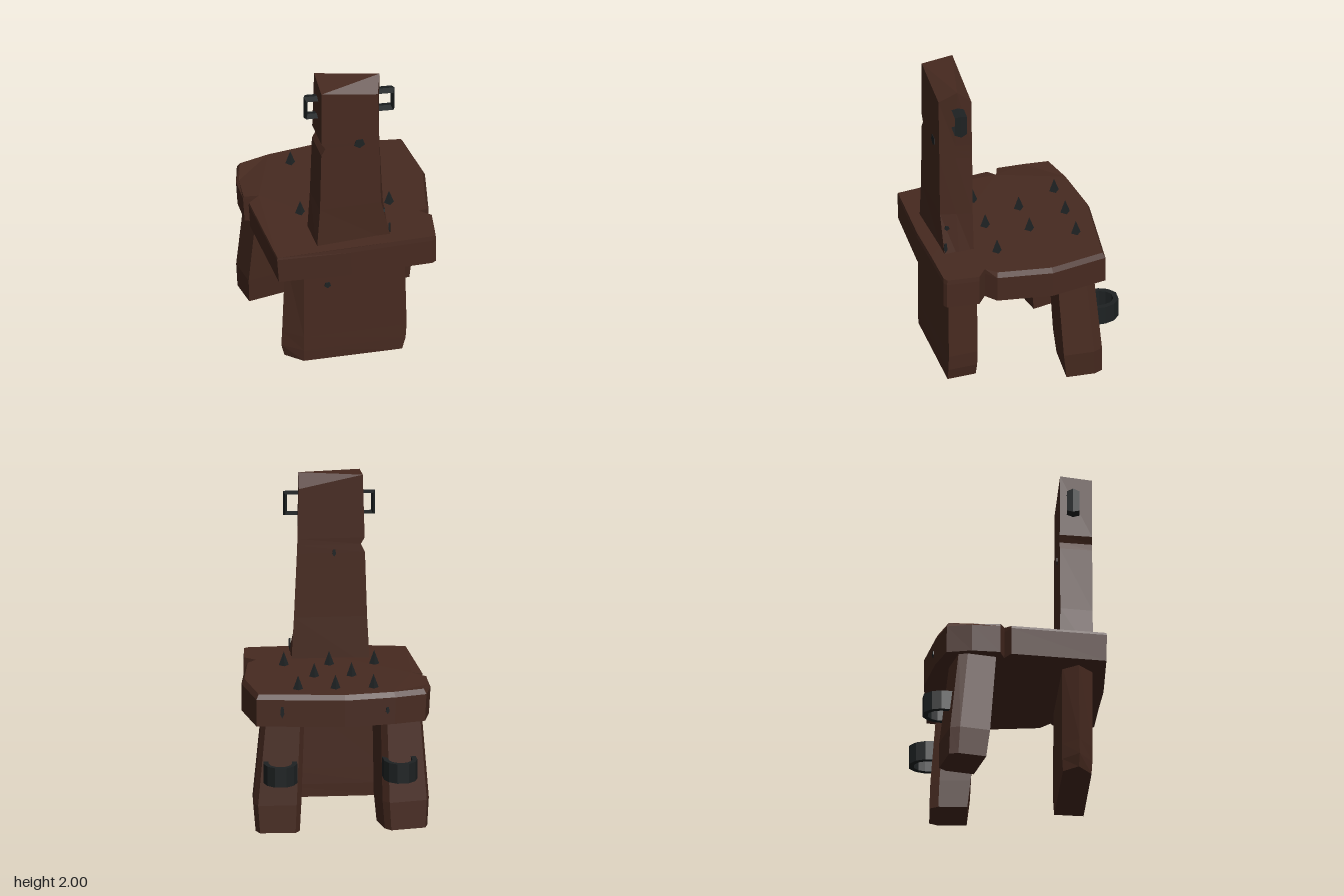
import * as THREE from 'three';

const wood = new THREE.MeshStandardMaterial({ color: 0x472a20 });
wood.name = 'dark wood';
const iron = new THREE.MeshStandardMaterial({ color: 0x1e2223 });
iron.name = 'black iron';

const YAW = -0.24; // the whole chair stands slightly turned

function add(parent, name, geo, mat) {
  const m = new THREE.Mesh(geo, mat);
  m.name = name;
  parent.add(m);
  return m;
}

function faceted(geo) {
  const g = geo.index ? geo.toNonIndexed() : geo;
  g.computeVertexNormals();
  return g;
}

// Faceted solid through stacked rings of [x, y, z] points, bottom to top
function loft(rings, topFaces) {
  const flat = (r) => r.map((p) => new THREE.Vector2(p[0], p[2]));
  if (THREE.ShapeUtils.area(flat(rings[0])) < 0) rings = rings.map((r) => [...r].reverse());
  const pos = [];
  const tri = (a, b, c) => pos.push(...a, ...b, ...c);
  const n = rings[0].length;
  for (let k = 0; k + 1 < rings.length; k++) {
    for (let i = 0; i < n; i++) {
      const j = (i + 1) % n, lo = rings[k], hi = rings[k + 1];
      tri(lo[i], hi[i], hi[j]);
      tri(lo[i], hi[j], lo[j]);
    }
  }
  const bottom = rings[0], top = rings[rings.length - 1];
  for (const [a, b, c] of THREE.ShapeUtils.triangulateShape(flat(bottom), [])) tri(bottom[a], bottom[b], bottom[c]);
  const faces = topFaces || THREE.ShapeUtils.triangulateShape(flat(top), []);
  for (const [a, b, c] of faces) tri(top[c], top[b], top[a]);
  const g = new THREE.BufferGeometry();
  g.setAttribute('position', new THREE.Float32BufferAttribute(pos, 3));
  g.computeVertexNormals();
  return g;
}

const level = (y, pts) => pts.map(([x, z]) => [x, y, z]);

// Iron C-shaped cuff, opening towards +z, standing along y
function cuffGeometry(size, height, arm, inner, yaw) {
  const arc = [[-1, -arm], [-1, 0.05], [-0.8, 0.6], [-0.35, 1], [0.35, 1], [0.8, 0.6], [1, 0.05], [1, -arm]];
  const inside = arc.map(([x, y]) => [x * inner, y < 0 ? y : y * inner]).reverse();
  const shape = new THREE.Shape([...arc, ...inside].map(([x, y]) => new THREE.Vector2(x * size, y * size)));
  const geo = new THREE.ExtrudeGeometry(shape, { depth: height, bevelEnabled: false });
  return faceted(geo.translate(0, 0, -height / 2).rotateX(-Math.PI / 2).rotateY(yaw));
}

export function createModel() {
  const chair = new THREE.Group();
  chair.name = 'spikedChair';

  // Seat slab with two split notches, worn along its back and left edges
  const outline = [
    [-0.57, 0.445], [-0.522, -0.13], [-0.45, -0.155], [-0.53, -0.2], [-0.507, -0.37], [-0.445, -0.51],
    [-0.25, -0.53], [0.06, -0.52], [0.568, -0.37], [0.568, -0.02], [0.462, 0.3], [0.385, 0.345],
    [0.442, 0.41], [0.39, 0.6], [0.36, 0.61], [0.13, 0.575], [-0.13, 0.54],
  ];
  const worn = ([x, z]) => (z < -0.3 || (x > 0.4 && z < 0.35) ? 0.97 : 0.995);
  add(chair, 'seat', loft([
    level(0.67, outline.map(([x, z]) => [x < 0 ? x * 0.98 : x, z])),
    level(0.835, outline),
    outline.map((p) => [p[0] * worn(p), p[0] < -0.5 ? 0.85 : 0.866, p[1] * worn(p)]),
  ]), wood);

  // Backrest: corners run back-left, back-right, right, front-right, front-left
  const back = [
    level(0.8, [[-0.29, 0.225], [0.175, 0.31], [0.165, 0.4], [0.155, 0.49], [-0.31, 0.43]]),
    level(1.12, [[-0.275, 0.235], [0.157, 0.31], [0.12, 0.4], [0.08, 0.49], [-0.288, 0.43]]),
    level(1.52, [[-0.262, 0.235], [0.14, 0.305], [0.105, 0.4], [0.071, 0.49], [-0.28, 0.43]]),
    level(1.57, [[-0.238, 0.24], [0.138, 0.305], [0.104, 0.4], [0.07, 0.49], [-0.255, 0.434]]),
    level(1.61, [[-0.26, 0.235], [0.137, 0.305], [0.103, 0.4], [0.069, 0.49], [-0.28, 0.43]]),
    [[-0.25, 2, 0.24], [0.128, 1.92, 0.305], [0.11, 2, 0.39], [0.06, 1.93, 0.49], [-0.28, 1.98, 0.43]],
  ];
  // Crooked cut across the top, fanned from its peak
  add(chair, 'backrest', loft(back, [[2, 3, 4], [2, 4, 0], [2, 0, 1]]), wood);

  // Wide front support
  const support = (x0, x1, w) => [
    [-0.38, 0.405 - w], [x1 - 0.025, 0.51 - w], [x1, 0.33], [-0.375, 0.22 + w], [x0, 0.3],
  ];
  add(chair, 'frontSupport', loft([
    level(0, support(-0.465, 0.235, 0.005)),
    level(0.08, support(-0.485, 0.255, 0)),
    level(0.18, support(-0.48, 0.262, 0)),
    level(0.7, support(-0.46, 0.25, 0)),
  ]), wood);

  // Two leaning back legs, each turned its own way with an iron cuff behind
  const legRing = (y, [cx, cz], yaw, a, b) => [
    [-a, -b], [a, -b], [a, b * 0.55], [a * 0.8, b], [-a * 0.8, b], [-a, b * 0.55],
  ].map(([u, v]) => [
    cx + u * Math.cos(yaw) - v * Math.sin(yaw), y, cz - u * Math.sin(yaw) - v * Math.cos(yaw),
  ]);
  const legs = [
    { side: 'left', yaw: YAW, top: [0.37, -0.24], foot: [0.413, -0.277], cuff: [0.43, -0.41], cuffYaw: YAW },
    { side: 'right', yaw: 0.03, top: [-0.32, -0.32], foot: [-0.333, -0.387], cuff: [-0.285, -0.512], cuffYaw: -0.1 },
  ];
  for (const { side, yaw, top, foot, cuff, cuffYaw } of legs) {
    add(chair, side + 'BackLeg', loft([
      legRing(0, foot, yaw, 0.132, 0.112),
      legRing(0.17, [foot[0], foot[1] + 0.012], yaw, 0.144, 0.12),
      legRing(0.7, top, yaw, 0.127, 0.113),
    ]), wood);
    const c = add(chair, side + 'LegCuff', cuffGeometry(0.1, 0.12, 0.95, 0.7, cuffYaw), iron);
    c.position.set(cuff[0], 0.38, cuff[1]);
  }

  // Square iron rings of flat diamond section, half sunk into the sides of the backrest
  for (const [name, x, z] of [['leftHandle', 0.126, 0.39], ['rightHandle', -0.267, 0.315]]) {
    const ring = new THREE.TorusGeometry(0.09, 0.017, 4, 4).rotateZ(Math.PI / 4).scale(1, 1, 2.2).rotateY(YAW);
    add(chair, name, faceted(ring), iron).position.set(x, 1.81, z);
  }

  // Seat spikes
  const spikes = [
    [-0.15, -0.39], [0.075, -0.35], [0.295, -0.31], [-0.085, -0.12],
    [0.135, -0.08], [-0.28, 0.09], [-0.015, 0.14], [0.25, 0.195],
  ];
  for (const [x, z] of spikes) {
    const s = add(chair, 'spike', faceted(new THREE.ConeGeometry(0.036, 0.1, 4).rotateY(YAW / 2)), iron);
    s.position.set(x, 0.9, z);
  }

  // Small iron nail heads set flush in the wood: x, y, z, radius, yaw, vertical stretch
  const nails = [
    [-0.05, 1.58, 0.468, 0.035, -0.17, 1], [-0.24, 0.55, 0.432, 0.021, -0.17, 1],
    [-0.08, 1.52, 0.267, 0.012, -0.17, 2],
    [0.112, 1.03, 0.46, 0.016, 1.18, 1], [0.138, 0.91, 0.482, 0.012, 1.18, 3],
    [0.42, 0.76, -0.414, 0.013, -0.29, 3], [-0.2, 0.76, -0.529, 0.012, 0, 2],
  ];
  for (const [x, y, z, r, yaw, stretch] of nails) {
    const geo = new THREE.CylinderGeometry(r, r, 0.009, 5).rotateX(Math.PI / 2).scale(1, stretch, 1).rotateY(yaw);
    add(chair, 'nailHead', faceted(geo), iron).position.set(x, y, z);
  }
  return chair;
}
